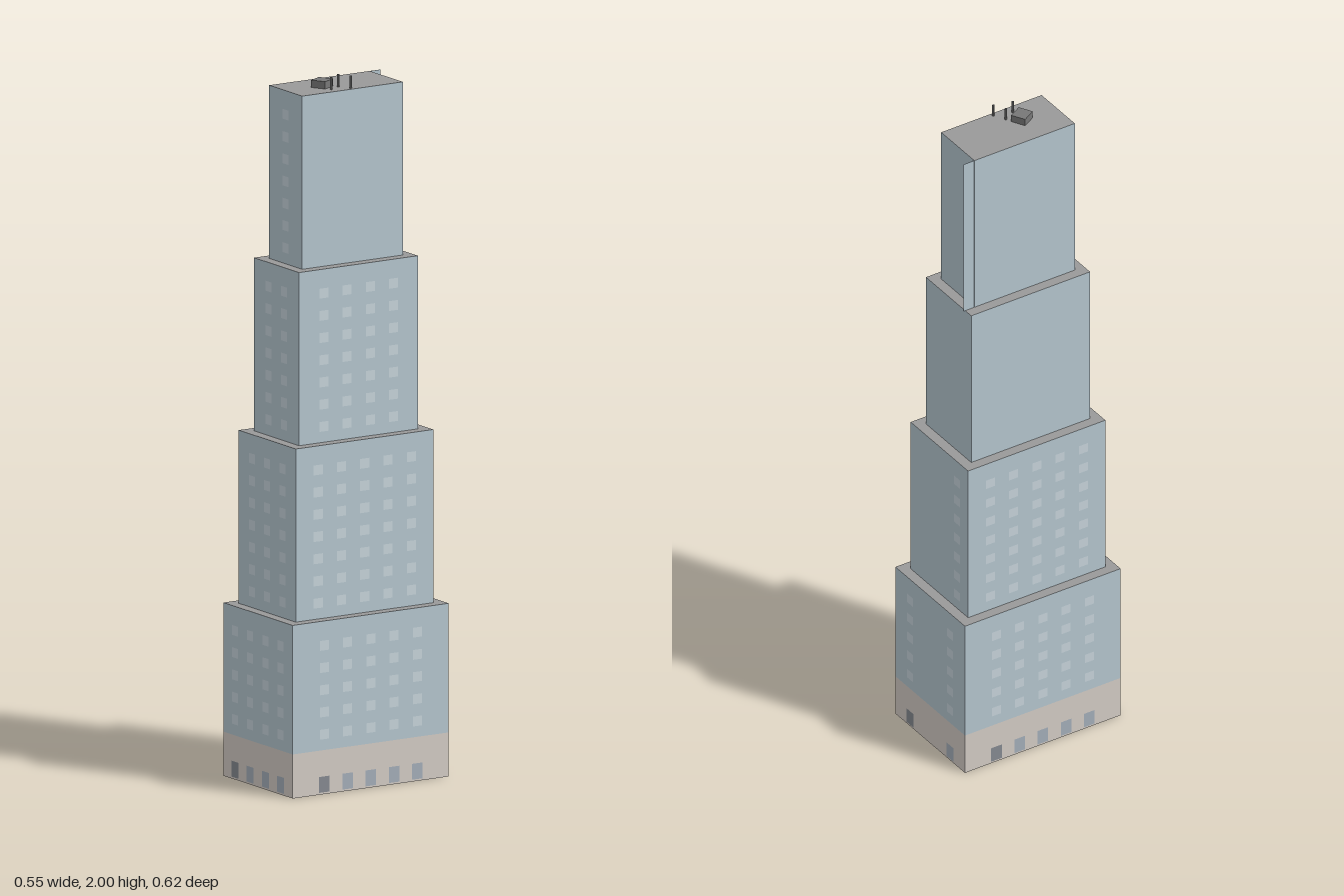
import * as THREE from 'three';

const mat = (color, side = THREE.FrontSide) => new THREE.MeshStandardMaterial({ color, side });

export function createModel() {
  const model = new THREE.Group();
  model.name = 'steppedTower';
  const wall = mat(0xb4c5ce), stone = mat(0xd2cbc4), roof = mat(0x999999);
  const pane = mat(0xc6d3da), shopPane = mat(0xa3adb8), door = mat(0x858990), metal = mat(0x777777);

  const add = (parent, name, geometry, material, x, y, z) => {
    const mesh = new THREE.Mesh(geometry, material);
    mesh.name = name;
    mesh.position.set(x, y, z);
    parent.add(mesh);
    return mesh;
  };

  // The tower is turned about its vertical axis
  const tower = new THREE.Group();
  tower.name = 'tower';
  tower.rotation.y = -THREE.MathUtils.degToRad(28.7);
  model.add(tower);

  // Four stacked tiers; columns of windows per face: front, right hand (+x), back, -x
  const tierH = 0.491, podiumH = 0.125, pitch = 0.077;
  const tiers = [
    { w: 0.350, d: 0.516, cols: [4, 5, 2, 5] },
    { w: 0.289, d: 0.455, cols: [3, 5, 1, 5] },
    { w: 0.228, d: 0.394, cols: [2, 4, 0, 0] },
    { w: 0.167, d: 0.333, cols: [1, 0, 0, 0] },
  ];
  const windowGeo = new THREE.PlaneGeometry(0.03, 0.028);
  const shopGeo = new THREE.PlaneGeometry(0.035, 0.045);

  tiers.forEach(({ w, d, cols }, i) => {
    const tier = new THREE.Group();
    tier.name = 'tier' + (i + 1);
    tier.position.y = i * tierH;
    tower.add(tier);
    const base = i === 0 ? podiumH : 0;
    if (base) add(tier, 'podium', new THREE.BoxGeometry(w, base, d), stone, 0, base / 2, 0);
    const h = tierH - base;
    // Walls with a grey top face
    add(tier, 'walls', new THREE.BoxGeometry(w, h, d),
      [wall, wall, roof, wall, wall, wall], 0, base + h / 2, 0);

    // Window grid on each face
    cols.forEach((n, side) => {
      const face = new THREE.Group();
      face.name = 'windowFace';
      face.rotation.y = side * Math.PI / 2;
      tier.add(face);
      const out = (side % 2 ? w : d) / 2 + 0.0008;
      const step = side === 2 ? 0.2 : pitch;
      for (let c = 0; c < n; c++) {
        // The lone back column sits beside one corner
        const x = side === 2 && n === 1 ? 0.09 : (c - (n - 1) / 2) * step;
        for (let y = base + 0.045; y < tierH - 0.02; y += 0.063)
          add(face, 'window', windowGeo, pane, x, y, out);
        if (base) add(face, c ? 'shopWindow' : 'door', shopGeo, c ? shopPane : door, x, 0.028, out);
      }
    });
  });

  // Thin wall fin running on past the back corner of the top tier
  add(tower, 'cornerFin', new THREE.BoxGeometry(0.001, tierH, 0.035), wall,
    -0.083, 3.5 * tierH, -0.1845);

  // Rooftop plant box and antennas
  const top = 4 * tierH;
  add(model, 'roofPlant', new THREE.BoxGeometry(0.044, 0.021, 0.045), metal, -0.015, top + 0.0105, 0.054);
  const poleH = 2 - top;
  for (const [x, z] of [[0.025, 0.034], [0.064, 0.034], [0.025, 0.074]])
    add(model, 'antenna', new THREE.BoxGeometry(0.005, poleH, 0.005), metal, x, top + poleH / 2, z);

  return model;
}
